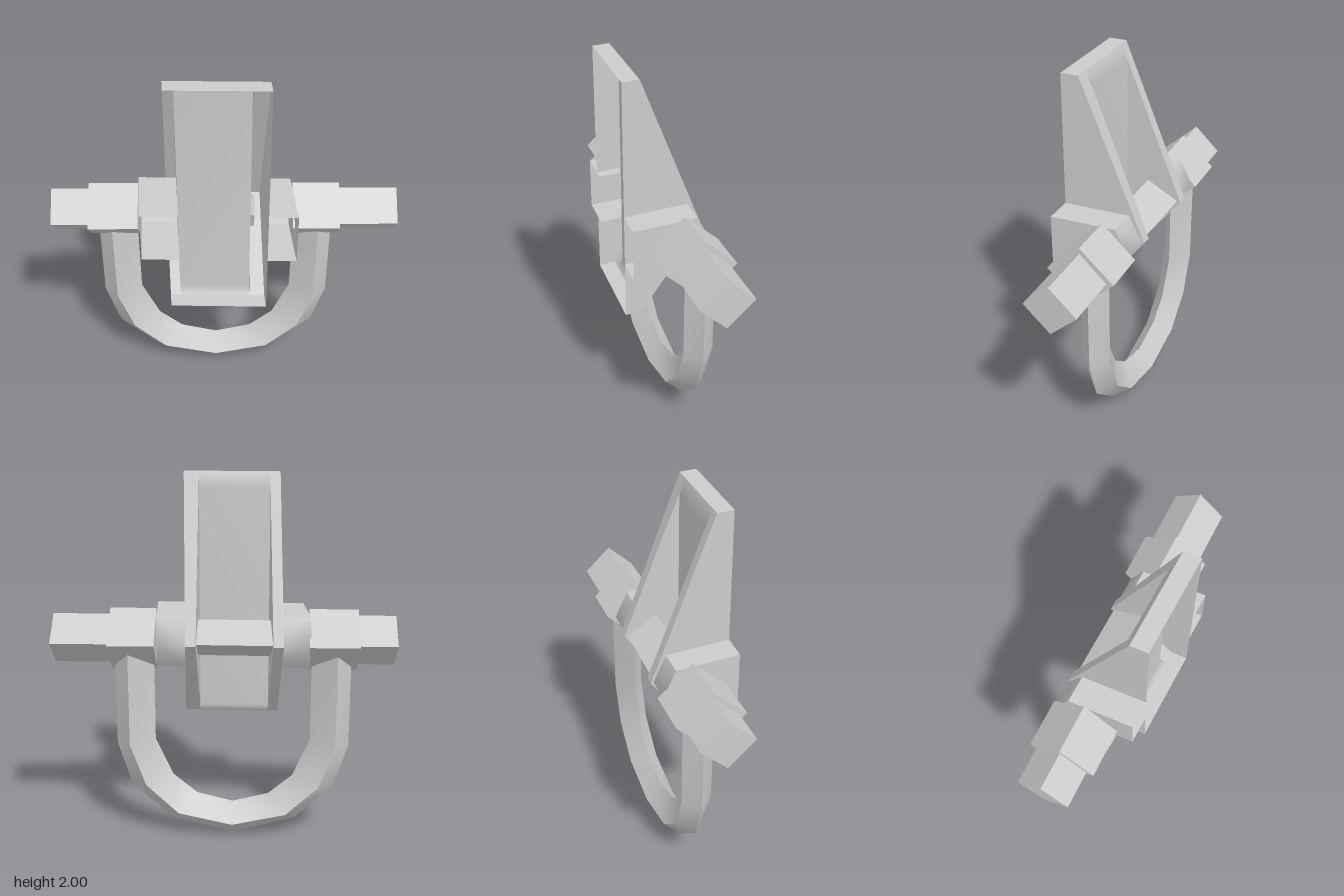
import * as THREE from 'three';

const grey = new THREE.MeshStandardMaterial({ color: 0xcccccc, side: THREE.DoubleSide });
const flat = new THREE.MeshStandardMaterial({ color: 0xcccccc, flatShading: true });

function add(parent, geometry, name, material = grey) {
  const mesh = new THREE.Mesh(geometry, material);
  mesh.name = name;
  parent.add(mesh);
}

// Ribbon between two matching lists of [x, y, z] points, smooth along its length
function ribbon(a, b) {
  const positions = [], index = [];
  a.forEach((p, i) => {
    positions.push(...p, ...b[i]);
    const k = 2 * i;
    if (i) index.push(k - 2, k - 1, k, k, k - 1, k + 1);
  });
  const g = new THREE.BufferGeometry();
  g.setAttribute('position', new THREE.Float32BufferAttribute(positions, 3));
  g.setIndex(index);
  g.computeVertexNormals();
  return g;
}

// The plate is slightly skewed in plan
const skew = ([x, y, z]) => [x + 0.07 * z, y, z + 0.023 * x];

// A [z, y] profile swept from x0 to x1
const sweep = (profile, x0, x1) => ribbon(
  profile.map(([z, y]) => skew([x0, y, z])), profile.map(([z, y]) => skew([x1, y, z])));

// A flat [z, y] outline standing at x
function sidePlate(outline, x) {
  const g = new THREE.ShapeGeometry(new THREE.Shape(outline.map(p => new THREE.Vector2(...p))));
  const pos = g.attributes.position;
  for (let i = 0; i < pos.count; i++) pos.setXYZ(i, ...skew([x, pos.getY(i), pos.getX(i)]));
  g.computeVertexNormals();
  return g;
}

// Four-sided bar with its corners up, down, front and back
function diamondBar(x0, x1, ry, rz, y, z) {
  return new THREE.CylinderGeometry(1, 1, x1 - x0, 4).rotateZ(Math.PI / 2)
    .scale(1, ry, rz).translate((x0 + x1) / 2, y, z);
}

const FRONT = 0.24, AXIS_Y = 1.125;

// Hollow plate, open at the front, with a recess in its back
function buildPlate() {
  const plate = new THREE.Group();
  plate.name = 'plate';
  const top = [0.147, 2], apex = [-0.2, 1.12], bottom = [0.147, 0.66];
  const panelTop = [0.115, 1.92], panelBottom = [0.115, 0.705];
  const lug = [[FRONT, 0.985], [-0.095, 0.985], [-0.185, AXIS_Y], [-0.115, 1.27], [FRONT, 1.27]];
  const wall = [[FRONT, 2], top, apex, bottom, [FRONT, 0.66]];

  // outer wall, recess wall (at the panel and at the rear point) and the two ends of each lug;
  // the right wall is cut away where its lug passes through
  const sides = [
    { side: 'right', outer: -0.31, inner: -0.255, innerApex: -0.255, end: -0.457, root: -0.255, outline: [...wall, ...lug] },
    { side: 'left', outer: 0.21, inner: 0.128, innerApex: 0.155, end: 0.363, root: 0.21, outline: wall },
  ];
  for (const { side, outer, inner, innerApex, end, root, outline } of sides) {
    add(plate, sidePlate(outline, outer), side + 'Wall');
    const at = (x, [z, y]) => skew([x, y, z]);
    const rear = at(innerApex, apex);
    add(plate, ribbon([at(inner, panelTop), rear], [at(inner, panelBottom), rear]), side + 'RecessWall');
    for (const tip of [top, bottom]) {
      add(plate, ribbon([at(outer, tip), at(outer, apex)], [at(inner, tip), rear]), side + 'BackRim');
    }
    add(plate, sweep(lug.slice(0, 2), end, root), side + 'LugBottom');
    add(plate, sweep(lug.slice(1, 4), end, root), side + 'LugBack');
    add(plate, sweep(lug.slice(3), end, root), side + 'LugTop');
    add(plate, sidePlate(lug, end), side + 'LugEnd');
  }

  add(plate, sweep([top, panelTop, panelBottom, bottom], -0.255, 0.128), 'recessPanel');
  add(plate, sweep([[FRONT, 2], top], -0.31, 0.21), 'topEdge');
  add(plate, sweep([[FRONT, 0.66], bottom], -0.31, 0.21), 'bottomEdge');

  // bar across the recess, with its ridge well forward
  const bar = [[-0.18, AXIS_Y], [-0.01, 1.225], [0.025, AXIS_Y], [-0.01, 1.025]];
  bar.forEach((p, i) => add(plate, sweep([p, bar[(i + 1) % 4]], -0.255, 0.16), 'crossBar'));
  return plate;
}

// U-shaped shackle with a kite-shaped section
function buildShackle() {
  const shackle = new THREE.Group();
  shackle.name = 'shackle';
  const cx = -0.052, cz = -0.063, depth = 0.083;
  // half paths from the leg top to the bottom centre: [distance from centre, y]
  const outer = [[0.64, 1.06], [0.64, 0.53], [0.563, 0.29], [0.35, 0.095], [0, 0]];
  const ridge = [[0.562, 1.06], [0.562, 0.545], [0.475, 0.31], [0.297, 0.145], [0, 0.08]];
  const inner = [[0.427, 1.06], [0.427, 0.56], [0.332, 0.35], [0.2, 0.24], [0, 0.19]];
  const path = (half, z) => [
    ...half.map(([x, y]) => [cx - x, y, z]),
    ...half.slice(0, -1).reverse().map(([x, y]) => [cx + x, y, z]),
  ];
  const edges = [path(outer, cz), path(ridge, cz + depth), path(inner, cz), path(ridge, cz - depth)];
  edges.forEach((edge, i) => add(shackle, ribbon(edge, edges[(i + 1) % 4]), 'shackleFace'));
  return shackle;
}

export function createModel() {
  const model = new THREE.Group();
  model.name = 'shackleAndPlate';
  model.add(buildPlate(), buildShackle());

  // pin ends and the larger nuts holding the shackle
  const z = -0.036;
  add(model, diamondBar(-0.925, -0.7, 0.135, 0.144, AXIS_Y, z), 'rightPinEnd', flat);
  add(model, diamondBar(0.59, 0.92, 0.135, 0.144, AXIS_Y, z), 'leftPinEnd', flat);
  add(model, diamondBar(-0.724, -0.46, 0.168, 0.184, AXIS_Y, z), 'rightNut', flat);
  add(model, diamondBar(0.361, 0.61, 0.168, 0.184, AXIS_Y, z), 'leftNut', flat);

  // the whole piece is turned slightly
  model.rotation.y = -0.1;
  return model;
}
